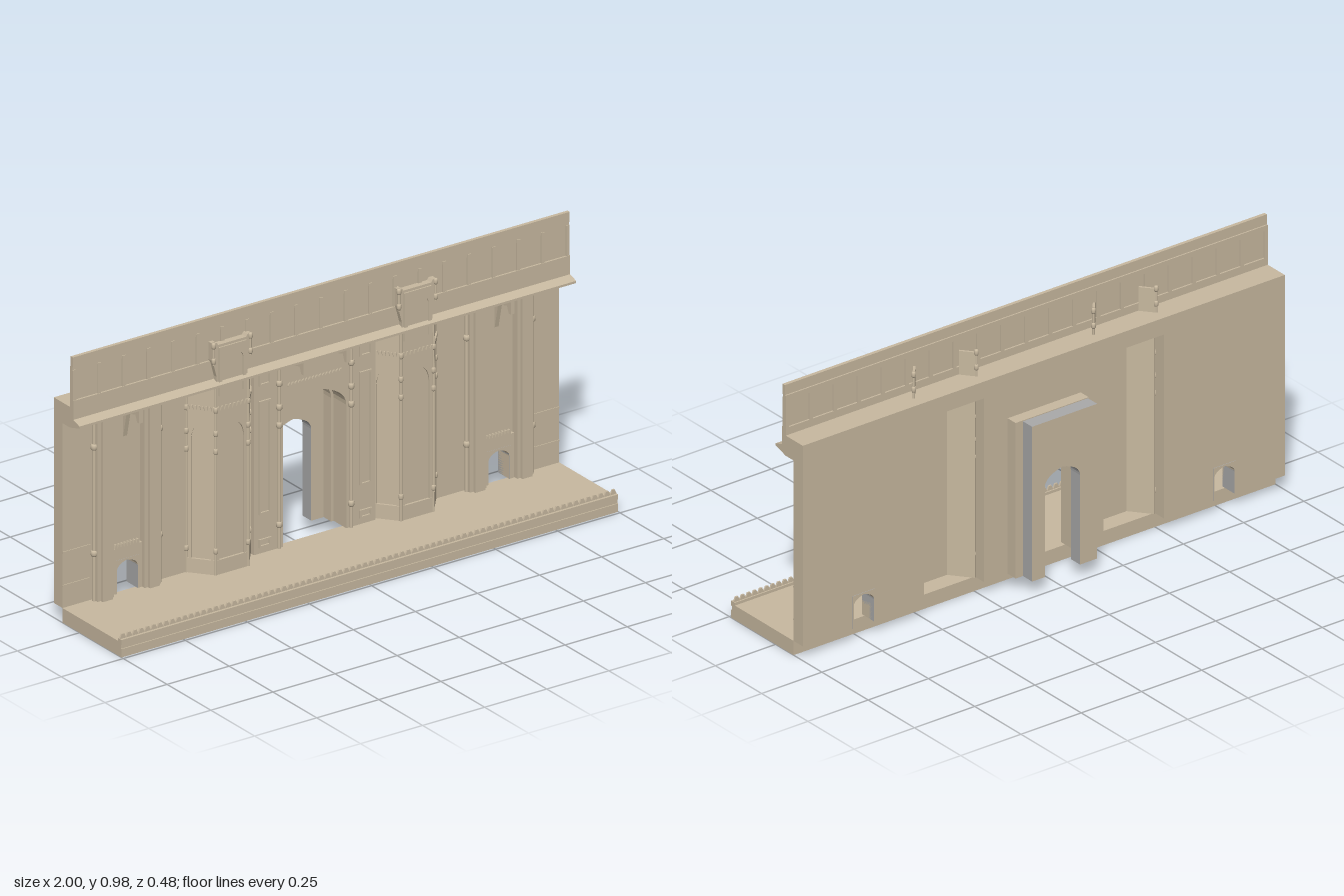
import * as THREE from 'three';

const stone = new THREE.MeshStandardMaterial({ color: 0xc8b9a0 });
const grey = new THREE.MeshStandardMaterial({ color: 0xaaaaaa });

function add(parent, name, geometry, material = stone) {
  const mesh = new THREE.Mesh(geometry, material);
  mesh.name = name;
  parent.add(mesh);
  return mesh;
}

// Box given by its limits on each axis
function box(parent, name, x0, x1, y0, y1, z0, z1) {
  const m = add(parent, name, new THREE.BoxGeometry(x1 - x0, y1 - y0, z1 - z0));
  m.position.set((x0 + x1) / 2, (y0 + y1) / 2, (z0 + z1) / 2);
  return m;
}

// Extrude a shape in x-y between two depths
function slab(parent, name, shape, z0, z1, material = stone) {
  const g = new THREE.ExtrudeGeometry(shape, { depth: z1 - z0, bevelEnabled: false, curveSegments: 8 });
  g.translate(0, 0, z0);
  return add(parent, name, g, material);
}

// Rectangle with openings cut up from its lower edge: pointed arches, or square if spring = top
function notched(x0, x1, y0, y1, openings) {
  const s = new THREE.Shape();
  s.moveTo(x0, y0);
  for (const { c, w, spring, top } of openings) {
    const h = spring + (top - spring) * 0.7;
    s.lineTo(c - w, y0);
    s.lineTo(c - w, spring);
    if (top > spring) {
      s.quadraticCurveTo(c - w, h, c, top);
      s.quadraticCurveTo(c + w, h, c + w, spring);
    } else s.lineTo(c + w, spring);
    s.lineTo(c + w, y0);
  }
  s.lineTo(x1, y0);
  s.lineTo(x1, y1);
  s.lineTo(x0, y1);
  return s;
}

// Sawtooth cresting strip
function cresting(parent, x0, x1, y0, y1, z0, z1, teeth) {
  const s = new THREE.Shape();
  const step = (x1 - x0) / teeth;
  s.moveTo(x1, y0 - 0.004);
  for (let i = teeth; i > 0; i--) {
    const x = x0 + i * step;
    s.lineTo(x, y0);
    s.lineTo(x - step * 0.3, y1);
    s.lineTo(x - step * 0.7, y1);
  }
  s.lineTo(x0, y0);
  s.lineTo(x0, y0 - 0.004);
  slab(parent, 'cresting', s, z0, z1);
}

// Slender round shaft with ring knobs
function shaft(parent, x, z, y0, y1, r, knobs) {
  const m = add(parent, 'shaft', new THREE.CylinderGeometry(r, r, y1 - y0, 10));
  m.position.set(x, (y0 + y1) / 2, z);
  for (const y of knobs) {
    const profile = [[0, -0.011], [r * 1.3, -0.01], [r * 1.8, -0.005], [r * 1.8, 0.005], [r * 1.3, 0.01], [0, 0.011]];
    const k = add(parent, 'shaftKnob', new THREE.LatheGeometry(profile.map(p => new THREE.Vector2(...p)), 10));
    k.position.set(x, y, z);
  }
}

// Raised rectangular moulding
function frame(parent, cx, w, y0, y1, z) {
  const s = notched(cx - w, cx + w, y0, y1, []);
  const t = 0.007;
  s.holes.push(new THREE.Path([[cx - w + t, y0 + t], [cx - w + t, y1 - t], [cx + w - t, y1 - t], [cx + w - t, y0 + t]]
    .map(p => new THREE.Vector2(...p))));
  slab(parent, 'panelMoulding', s, z, z + 0.006);
}

// One face of a bay between two plan points, with a pointed niche
function bayFace(parent, [xa, za], [xb, zb]) {
  const face = new THREE.Group();
  const len = Math.hypot(xb - xa, zb - za), h = len / 2;
  face.name = 'bayFace';
  face.position.set((xa + xb) / 2, 0, (za + zb) / 2);
  face.rotation.y = Math.atan2(za - zb, xb - xa);
  box(face, 'backing', -h, h, 0.053, 0.74, -0.012, -0.006);
  box(face, 'plinth', -h, h, 0.053, 0.105, -0.006, 0.002);
  slab(face, 'nicheSurround', notched(-h, h, 0.105, 0.74, [{ c: 0, w: h - 0.016, spring: 0.53, top: 0.6 }]), -0.006, 0);
  cresting(face, -h, h, 0.645, 0.66, 0, 0.005, 8);
  parent.add(face);
}

function bay(parent, cx) {
  const g = new THREE.Group();
  g.name = 'bay';
  g.position.x = cx;
  parent.add(g);
  const plan = [[-0.129, -0.097], [-0.065, -0.019], [0.065, -0.019], [0.129, -0.097]];
  for (let i = 0; i < 3; i++) bayFace(g, plan[i], plan[i + 1]);
  for (const [x, z] of plan) shaft(g, x, z, 0.053, 0.74, 0.0045, [0.14, 0.5, 0.565, 0.65]);

  // flared turret front rising over the parapet
  const half = [[0.06, 0.7], [0.062, 0.77], [0.078, 0.83], [0.078, 0.893], [0.062, 0.893], [0.056, 0.884]];
  const pts = [...half, ...half.map(([x, y]) => [-x, y]).reverse()];
  slab(g, 'turret', new THREE.Shape(pts.map(p => new THREE.Vector2(...p))), -0.045, -0.018);
  slab(g, 'turretNiche', notched(-0.055, 0.055, 0.7, 0.875, [{ c: 0, w: 0.042, spring: 0.82, top: 0.85 }]), -0.018, -0.013);
  for (const s of [-1, 1]) {
    shaft(g, s * 0.074, -0.018, 0.815, 0.89, 0.0045, [0.83, 0.885]);
    // slanted wing behind the parapet
    const wing = box(g, 'turretWing', -0.03, 0.03, 0.79, 0.885, -0.004, 0.004);
    wing.position.x = s * 0.112;
    wing.position.z = -0.077;
    wing.rotation.y = s * Math.atan2(0.078, 0.064);
    shaft(g, s * 0.13, -0.099, 0.79, 0.89, 0.0045, [0.83, 0.885]);
  }
}

// Hanging bracket under the cornice
function bracket(parent, x) {
  const s = new THREE.Shape([[0, 0.74], [0.092, 0.74], [0.092, 0.69], [0.08, 0.69], [0.07, 0.715], [0.02, 0.7], [0, 0.61]]
    .map(p => new THREE.Vector2(...p)));
  const m = slab(parent, 'corniceBracket', s, -0.008, 0.008);
  m.rotation.y = -Math.PI / 2;
  m.position.set(x, 0, -0.097);
}

export function createModel() {
  const root = new THREE.Group();
  root.name = 'gatewayFacade';

  // terrace with front lip and cresting
  box(root, 'terrace', -1, 1, 0, 0.053, -0.097, 0.236);
  box(root, 'terraceLip', -1, 1, 0.045, 0.063, 0.22, 0.24);
  box(root, 'terraceFoot', -1, 1, 0, 0.03, 0.23, 0.24);
  cresting(root, -1, 1, 0.063, 0.08, 0.225, 0.231, 80);

  // main wall with gate, bay and side door openings
  const door = c => ({ c, w: 0.042, spring: 0.135, top: 0.168 });
  const bayGap = c => ({ c, w: 0.125, spring: 0.735, top: 0.735 });
  const arch = { c: 0, w: 0.127, spring: 0.5, top: 0.59 };
  slab(root, 'wall', notched(-1, 1, 0.053, 0.797,
    [door(-0.748), bayGap(-0.373), arch, bayGap(0.373), door(0.748)]), -0.147, -0.097);

  // gate front, rear porch and inner doorway
  slab(root, 'gateFront', notched(-0.245, 0.245, 0.053, 0.74, [arch]), -0.097, -0.075);
  slab(root, 'gatePorch', notched(-0.153, 0.15, 0.053, 0.63, [{ ...arch, w: 0.117 }]), -0.19, -0.147);
  slab(root, 'gateDoorway', notched(-0.15, 0.12, 0.053, 0.627,
    [{ c: -0.006, w: 0.073, spring: 0.385, top: 0.44 }]), -0.24, -0.19, [stone, grey]);
  cresting(root, -0.11, 0.11, 0.632, 0.64, -0.075, -0.07, 16);

  // cornice along the wall head
  const profile = [[0.147, 0.797], [0.035, 0.797], [0.035, 0.757], [0.0, 0.746], [0.0, 0.738], [0.055, 0.722], [0.1, 0.722], [0.1, 0.76], [0.147, 0.76]];
  const cornice = slab(root, 'cornice', new THREE.Shape(profile.map(p => new THREE.Vector2(...p))), -1, 1);
  cornice.rotation.y = Math.PI / 2;

  // panelled parapet
  box(root, 'parapet', -1, 1, 0.79, 0.982, -0.049, -0.042);
  box(root, 'parapetCoping', -1, 1, 0.945, 0.982, -0.05, -0.037);
  box(root, 'parapetRail', -1, 1, 0.925, 0.945, -0.055, -0.04);
  box(root, 'parapetBase', -1, 1, 0.79, 0.825, -0.055, -0.035);
  for (let i = 0; i <= 20; i++) {
    const x = -0.993 + i * 0.0993;
    box(root, 'parapetRib', x - 0.007, x + 0.007, 0.82, 0.935, -0.055, -0.037);
  }

  for (const s of [-1, 1]) {
    bay(root, s * 0.373);

    // gate shafts and side panels
    shaft(root, s * 0.145, -0.072, 0.053, 0.73, 0.006, [0.14, 0.5, 0.565, 0.65]);
    frame(root, s * 0.203, 0.024, 0.66, 0.72, -0.075);
    frame(root, s * 0.203, 0.024, 0.195, 0.605, -0.075);
    frame(root, s * 0.203, 0.024, 0.075, 0.105, -0.075);

    // paired pilasters with outer shafts
    for (const [c, dir] of [[0.655, -1], [0.845, 1]]) {
      const x = s * c;
      box(root, 'pilaster', x - 0.033, x + 0.033, 0.053, 0.74, -0.097, -0.07);
      box(root, 'pilasterFace', x - 0.02, x + 0.02, 0.053, 0.74, -0.07, -0.058);
      shaft(root, x + s * dir * 0.036, -0.085, 0.053, 0.74, 0.007, [0.225, 0.61, 0.73]);
    }

    // side door surround and string courses
    const d = s * 0.748;
    slab(root, 'doorSurround', notched(d - 0.062, d + 0.062, 0.053, 0.215, [door(d)]), -0.097, -0.085);
    cresting(root, d - 0.05, d + 0.05, 0.215, 0.23, -0.095, -0.085, 8);
    const lining = notched(d - 0.046, d + 0.046, 0.053, 0.174, [door(d)]);
    slab(root, 'doorLining', lining, -0.149, -0.084, [stone, grey]);
    for (const y of [0.13, 0.25]) {
      box(root, 'stringCourse', s * 0.945 - 0.055, s * 0.945 + 0.055, y, y + 0.006, -0.098, -0.094);
    }
    bracket(root, d);
    bracket(root, s * 0.087);
  }
  return root;
}
